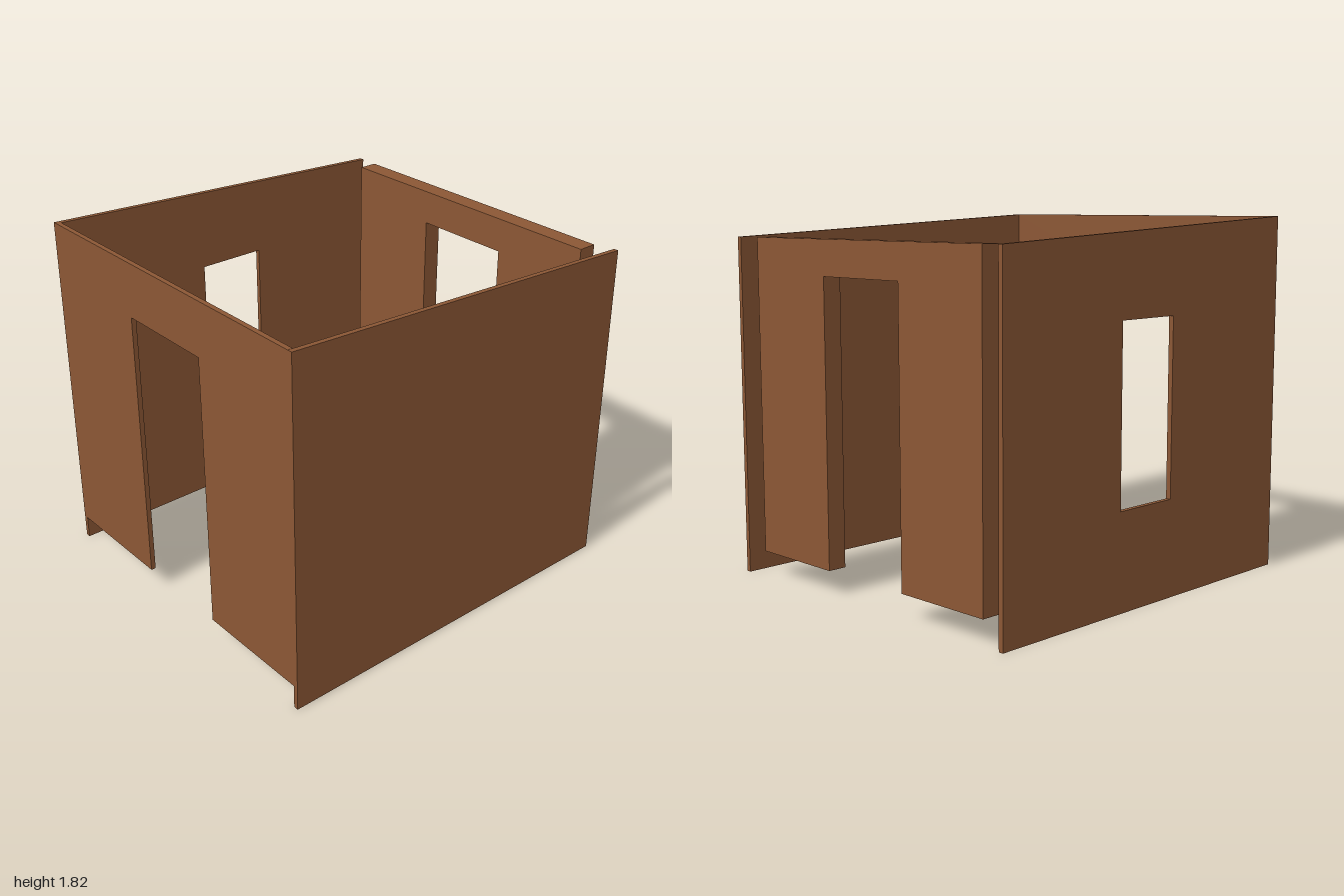
import * as THREE from 'three';

const HALF_W = 0.92, WALL = 0.025, FLOOR = 0.122;
const DOOR_X = 0.267, DOOR_TOP = 1.54;
const roofY = (z) => 1.765 + 0.05 * z; // roof line falls towards the back

const polygon = (Type, points) => new Type(points.map(([x, y]) => new THREE.Vector2(x, y)));

export function createModel() {
  const wood = new THREE.MeshStandardMaterial({ color: 0x8b5735 });
  wood.name = 'brown wood';
  const group = new THREE.Group();
  group.name = 'openShed';

  function add(name, geometry) {
    const mesh = new THREE.Mesh(geometry, wood);
    mesh.name = name;
    group.add(mesh);
    return mesh;
  }

  // Side wall drawn in the z-y plane, with an optional window [z0, z1, y0, y1]
  function sideWall(name, x, back, window) {
    const front = 1;
    const shape = polygon(THREE.Shape, [
      [-front, 0], [-back, 0], [-back, roofY(back)], [-front, roofY(front)],
    ]);
    if (window) {
      const [z0, z1, y0, y1] = window;
      shape.holes.push(polygon(THREE.Path, [[-z1, y0], [-z1, y1], [-z0, y1], [-z0, y0]]));
    }
    const geometry = new THREE.ExtrudeGeometry(shape, { depth: WALL, bevelEnabled: false });
    geometry.rotateY(Math.PI / 2); // shape x becomes -z, depth becomes x
    geometry.translate(x, 0, 0);
    add(name, geometry);
  }
  sideWall('leftWall', HALF_W - WALL, -1);
  sideWall('rightWallWithWindow', -HALF_W, -0.97, [-0.21, 0.155, 0.485, 1.36]);

  // Front wall with its doorway, raised off the ground between the side walls
  const inner = HALF_W - WALL, top = roofY(1);
  const frontShape = polygon(THREE.Shape, [
    [-inner, FLOOR], [-DOOR_X, FLOOR], [-DOOR_X, DOOR_TOP], [DOOR_X, DOOR_TOP],
    [DOOR_X, FLOOR], [inner, FLOOR], [inner, top], [-inner, top],
  ]);
  const frontWall = new THREE.ExtrudeGeometry(frontShape, { depth: WALL, bevelEnabled: false });
  frontWall.translate(0, 0, 1 - WALL);
  add('frontWall', frontWall);

  // Thick back wall: two panels and a lintel
  function backBlock(name, x0, x1, y0) {
    const y1 = 1.715, depth = 0.097;
    const mesh = add(name, new THREE.BoxGeometry(x1 - x0, y1 - y0, depth));
    mesh.position.set((x0 + x1) / 2, (y0 + y1) / 2, -0.97 + depth / 2);
  }
  backBlock('backPanelRight', -0.8, -DOOR_X, FLOOR);
  backBlock('backLintel', -DOOR_X, DOOR_X, DOOR_TOP);
  backBlock('backPanelLeft', DOOR_X, 0.797, FLOOR);

  return group;
}
